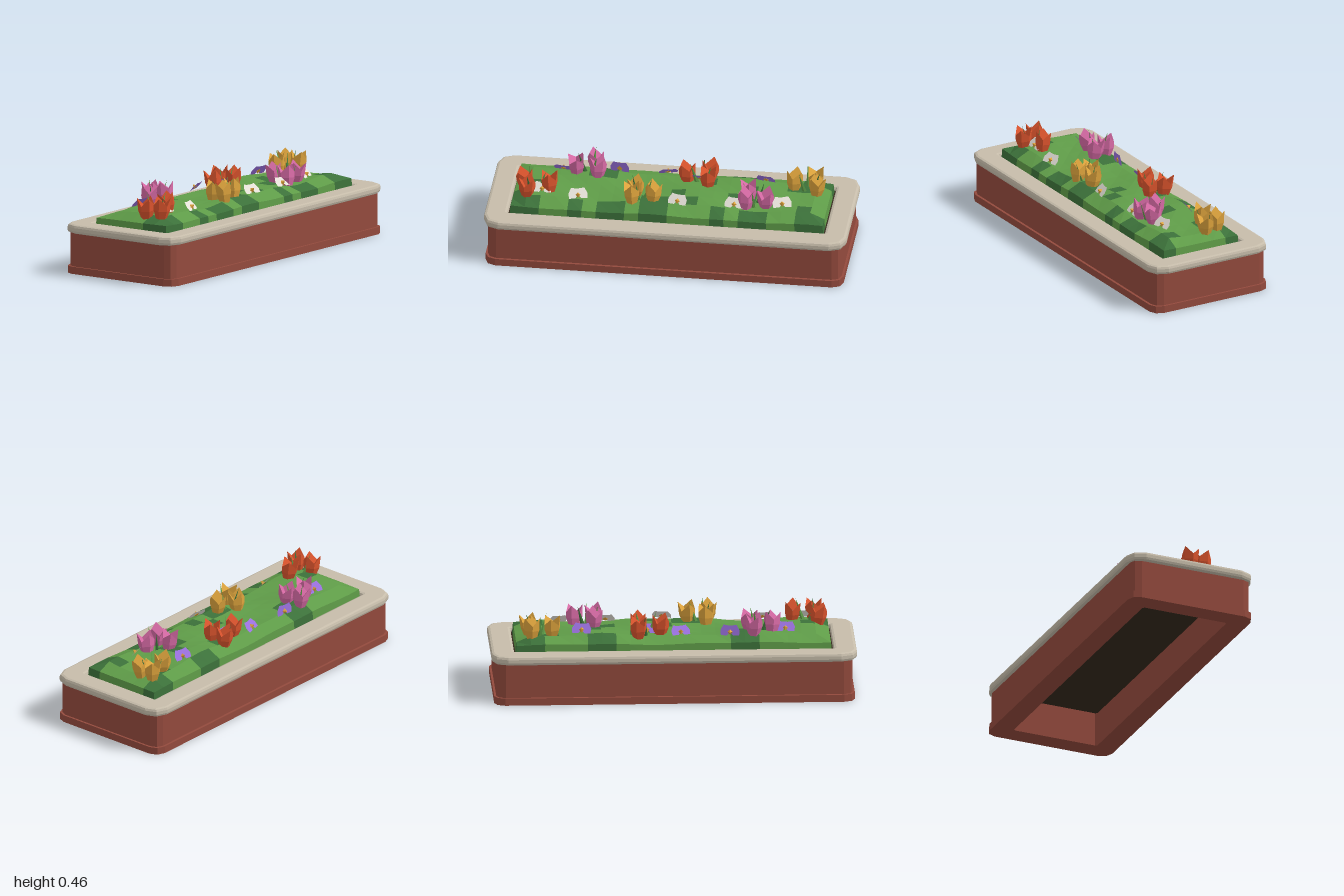
import * as THREE from 'three';

const mat = (name, color, extra = {}) => {
  const m = new THREE.MeshStandardMaterial({ color, flatShading: true, ...extra });
  m.name = name;
  return m;
};

// Rectangle outline with rounded or chamfered corners
function outline(path, hx, hz, r, steps) {
  const pts = [];
  [[1, 1], [-1, 1], [-1, -1], [1, -1]].forEach(([sx, sz], k) => {
    for (let i = 0; i <= steps; i++) {
      const a = (k + i / steps) * Math.PI / 2;
      pts.push(new THREE.Vector2(sx * (hx - r) + r * Math.cos(a), sz * (hz - r) + r * Math.sin(a)));
    }
  });
  return path.setFromPoints(pts);
}

// Rectangular ring lying flat between y0 and y1, optionally bevelled
function frame([hx, hz, r], [ix, iz, ir], y0, y1, bevel = 0) {
  const shape = outline(new THREE.Shape(), hx - bevel, hz - bevel, r, 2);
  shape.holes.push(outline(new THREE.Path(), ix + bevel, iz + bevel, ir, 1));
  const geo = new THREE.ExtrudeGeometry(shape, {
    depth: y1 - y0 - 2 * bevel, bevelEnabled: bevel > 0,
    bevelSize: bevel, bevelThickness: bevel, bevelSegments: 2,
  });
  return geo.rotateX(-Math.PI / 2).translate(0, y0 + bevel, 0);
}

function fromTriangles(points) {
  const geo = new THREE.BufferGeometry();
  geo.setAttribute('position', new THREE.Float32BufferAttribute(points.flat(), 3));
  geo.computeVertexNormals();
  return geo;
}

// Mound height, sloping down to the planter edge
function ground(x, z) {
  const edge = Math.min(1, (0.86 - Math.abs(x)) / 0.08, (0.235 - Math.abs(z)) / 0.075);
  const wave = Math.sin(7 * x + 9 * z) * 0.6 + Math.sin(15 * x - 14 * z) * 0.4;
  return 0.304 + 0.032 * edge + wave * (0.006 + 0.008 * edge);
}

// Grass grid sorted into light and dark patches, with a skirt around it
function grassGeometries() {
  const map = [
    'LLLLLDDLLLLLLLLDDLLLDD',
    'LLLLLDDLLLLLLDLLLLLDDL',
    'LLLLLLLLLLLLLLLLDLLLLL',
    'LDLLLLLLLLLDLLLDDLLLLL',
    'DLLLLLLLLDDLDLLLLLLLDL',
    'DDLLDLDDLDDLLLDLDDLLDD',
  ];
  const nx = 22, nz = 6, tris = { L: [], D: [] };
  const clamp = (v, n) => Math.max(0, Math.min(n, v));
  const point = (i, j) => {
    const x = (clamp(i, nx) / nx * 2 - 1) * 0.86, z = (clamp(j, nz) / nz * 2 - 1) * 0.235;
    const skirt = i < 0 || j < 0 || i > nx || j > nz;
    return skirt ? [x * 1.006, 0.245, z * 1.015] : [x, ground(x, z), z];
  };
  for (let j = -1; j <= nz; j++) for (let i = -1; i <= nx; i++) {
    const a = point(i, j), b = point(i + 1, j), c = point(i + 1, j + 1), d = point(i, j + 1);
    tris[map[clamp(j, nz - 1)][clamp(i, nx - 1)]].push(...a, ...d, ...c, ...a, ...c, ...b);
  }
  return [fromTriangles(tris.L), fromTriangles(tris.D)];
}

// Tulip cup: three broad pointed petals, each a rhombus on the inside
function tulipGeometry() {
  const n = 6, tris = [];
  const p = (i, r, y) => [r * Math.cos(i * Math.PI / 3), y, r * Math.sin(i * Math.PI / 3)];
  const rings = [
    (i) => p(i, 0.03, -0.012),
    (i) => p(i, 0.045, 0.035),
    (i) => (i % 2 ? p(i, 0.046, 0.064) : p(i, 0.048, 0.106)),
  ];
  for (let i = 0; i < n; i++) {
    for (let k = 0; k < 2; k++) {
      const a = rings[k](i), b = rings[k](i + 1), c = rings[k + 1](i + 1), d = rings[k + 1](i);
      tris.push(b, a, d, b, d, c);
    }
    tris.push(rings[2](i + 1), rings[2](i), [0, 0.025, 0]);
  }
  return fromTriangles(tris);
}

// Small blossom: an arch of petals, notched below around its centre
function blossomGeometry() {
  const half = [[0, -0.004], [0.016, -0.026], [0.05, -0.026], [0.053, 0.002], [0.036, 0.034], [0.012, 0.03]];
  const mirrored = half.slice(1).reverse().map(([x, y]) => [-x, y]);
  return new THREE.ShapeGeometry(new THREE.Shape([...half, ...mirrored].map((q) => new THREE.Vector2(...q))));
}

export function createModel() {
  const model = new THREE.Group();
  model.name = 'flowerPlanter';
  const double = { side: THREE.DoubleSide };
  const brick = mat('brick', 0x934a3d), stone = mat('stone', 0xc6bcaa), soil = mat('soil', 0x35291d);
  const grass = mat('grass', 0x5f9c48), darkGrass = mat('darkGrass', 0x3c713a);
  const red = mat('red', 0xdb542d), pink = mat('pink', 0xd86ba6), yellow = mat('yellow', 0xdea43d);
  const white = mat('white', 0xf0ebe2, double), purple = mat('purple', 0x9a70de, double);
  const add = (name, geo, material, parent = model) => {
    const mesh = new THREE.Mesh(geo, material);
    mesh.name = name;
    parent.add(mesh);
    return mesh;
  };

  // Planter box, open underneath
  const hole = [0.87, 0.25, 0.01];
  add('plinth', frame([0.987, 0.368, 0.06], hole, 0, 0.04), brick);
  add('walls', frame([0.975, 0.354, 0.05], hole, 0.04, 0.235), brick);
  add('rim', frame([1, 0.374, 0.075], [0.873, 0.248, 0.012], 0.225, 0.275, 0.016), stone);
  add('soil', new THREE.BoxGeometry(1.76, 0.055, 0.52), soil).position.y = 0.222;

  // Grass mound
  const [light, dark] = grassGeometries();
  add('grassMound', light, grass);
  add('darkGrassPatches', dark, darkGrass);

  // Tulip clusters: three buds with leaves between them
  const tulip = tulipGeometry();
  const leaf = new THREE.ConeGeometry(0.014, 0.13, 4).scale(1, 1, 0.5).translate(0, 0.055, 0);
  const clusters = [
    [red, [-0.8, 0.06], [-0.78, 0.145], [-0.66, 0.1]],
    [pink, [-0.54, -0.12], [-0.44, -0.17], [-0.42, -0.09]],
    [yellow, [-0.19, 0.07], [-0.2, 0.15], [-0.09, 0.125]],
    [red, [0.07, -0.12], [0.19, -0.165], [0.19, -0.075]],
    [pink, [0.43, 0.03], [0.42, 0.12], [0.53, 0.1]],
    [yellow, [0.66, -0.12], [0.775, -0.15], [0.785, -0.075]],
  ];
  clusters.forEach(([color, ...buds], c) => {
    const group = new THREE.Group();
    group.name = 'tulipCluster';
    model.add(group);
    let cx = 0, cz = 0;
    buds.forEach(([x, z], i) => {
      const bud = add('tulip', tulip, color, group);
      bud.position.set(x, Math.max(0.332, ground(x, z)), z);
      bud.rotation.set(0.1 * Math.sin(c + i * 2), c * 0.7 + i * 1.3, 0.1 * Math.cos(c + i * 2));
      cx += x / 3;
      cz += z / 3;
    });
    for (let i = 0; i < 3; i++) {
      const blade = add('leaf', leaf, i % 2 ? darkGrass : grass, group);
      const a = c * 0.9 + i * 2.1;
      const x = cx + 0.03 * Math.cos(a), z = cz + 0.03 * Math.sin(a);
      blade.position.set(x, ground(x, z), z);
      blade.rotation.set(0.3 * Math.sin(a), 0, -0.3 * Math.cos(a));
    }
  });

  // Small blossoms: white facing front, purple facing back
  const blossom = blossomGeometry();
  const center = new THREE.ConeGeometry(0.016, 0.022, 4).rotateX(Math.PI / 2).translate(0, -0.006, 0.009);
  const blossoms = [
    [white, -0.7, 0.12, 0.7], [white, -0.5, 0.14, 0.7], [white, 0.05, 0.15, 0.7],
    [white, 0.36, 0.13, 0.7], [white, 0.62, 0.1, 0.7],
    [purple, -0.615, -0.12, 0.7], [purple, -0.31, -0.17, 0.08], [purple, -0.04, -0.16, 0.75],
    [purple, 0.14, -0.11, 0.7], [purple, 0.5, -0.13, 0.6],
  ];
  blossoms.forEach(([color, x, z, tilt], i) => {
    const group = new THREE.Group();
    group.name = 'blossom';
    add('petals', blossom, color, group);
    add('blossomCenter', center, yellow, group);
    group.position.set(x, ground(x, z) + 0.024, z);
    group.rotation.order = 'YXZ';
    group.rotation.set(-tilt, (color === purple ? Math.PI : 0) + 0.25 * Math.sin(i * 2), 0);
    model.add(group);
  });
  return model;
}
